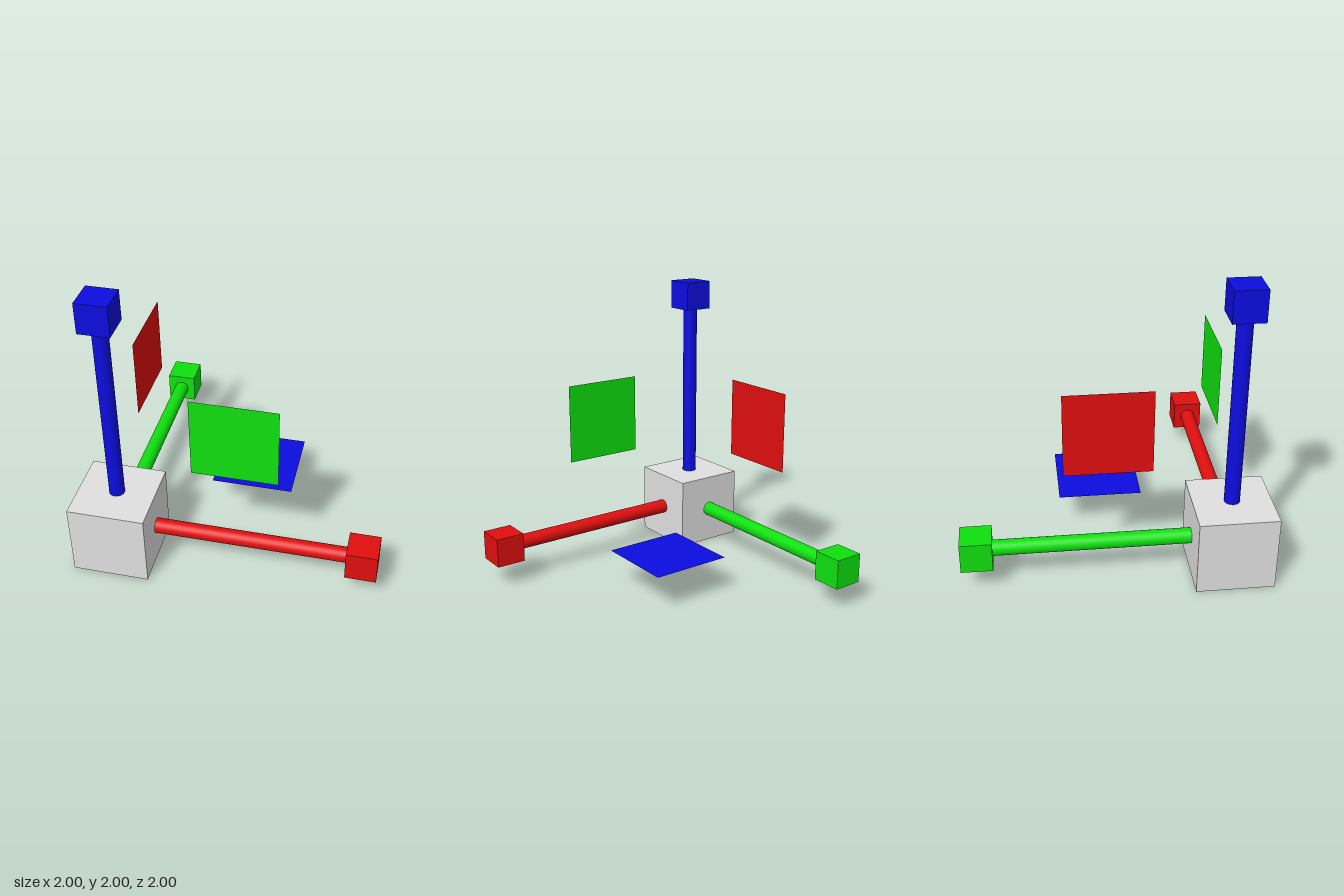
import * as THREE from 'three';

const U = 0.10256;                 // half an end cube
const REACH = 16 * U;              // origin block to end cube
const OFFSET = 7.75 * U;           // origin block to plane centres
const ORIGIN = [-0.744, 2.5 * U, 0.744];

function makeMaterial(name, color, side = THREE.FrontSide) {
  const material = new THREE.MeshStandardMaterial({ color, side });
  material.name = name;
  return material;
}

export function createModel() {
  const model = new THREE.Group();
  model.name = 'axisGizmo';
  const gizmo = new THREE.Group();
  gizmo.name = 'gizmo';
  gizmo.position.set(...ORIGIN);
  model.add(gizmo);

  const add = (name, geometry, material) => {
    const mesh = new THREE.Mesh(geometry, material);
    mesh.name = name;
    gizmo.add(mesh);
    return mesh;
  };

  // Central block
  add('originBlock', new THREE.BoxGeometry(5 * U, 5 * U, 5 * U), makeMaterial('lightGrey', 0xe0e0e0));

  // Each axis has a rod, an end cube and a square plane facing along it
  const axes = [
    { name: 'x', dir: new THREE.Vector3(1, 0, 0), material: makeMaterial('red', 0xe00f0f, THREE.DoubleSide) },
    { name: 'y', dir: new THREE.Vector3(0, 1, 0), material: makeMaterial('blue', 0x0d0de0, THREE.DoubleSide) },
    { name: 'z', dir: new THREE.Vector3(0, 0, -1), material: makeMaterial('green', 0x0fe00f, THREE.DoubleSide) },
  ];
  const diagonal = new THREE.Vector3(1, 1, -1).multiplyScalar(OFFSET);
  const up = new THREE.Vector3(0, 1, 0);
  const forward = new THREE.Vector3(0, 0, 1);

  for (const { name, dir, material } of axes) {
    const rod = add(name + 'Rod', new THREE.CylinderGeometry(U / 2, U / 2, REACH, 32), material);
    rod.quaternion.setFromUnitVectors(up, dir);
    rod.position.copy(dir).multiplyScalar(REACH / 2);

    const cube = add(name + 'EndCube', new THREE.BoxGeometry(2 * U, 2 * U, 2 * U), material);
    cube.position.copy(dir).multiplyScalar(REACH);

    // Zero-thickness plane spanning the other two axes
    const normal = name === 'z' ? forward : dir;
    const plane = add(name + 'Plane', new THREE.PlaneGeometry(5.5 * U, 5.5 * U), material);
    plane.quaternion.setFromUnitVectors(forward, normal);
    plane.position.copy(diagonal).addScaledVector(dir, -OFFSET);
  }

  return model;
}
